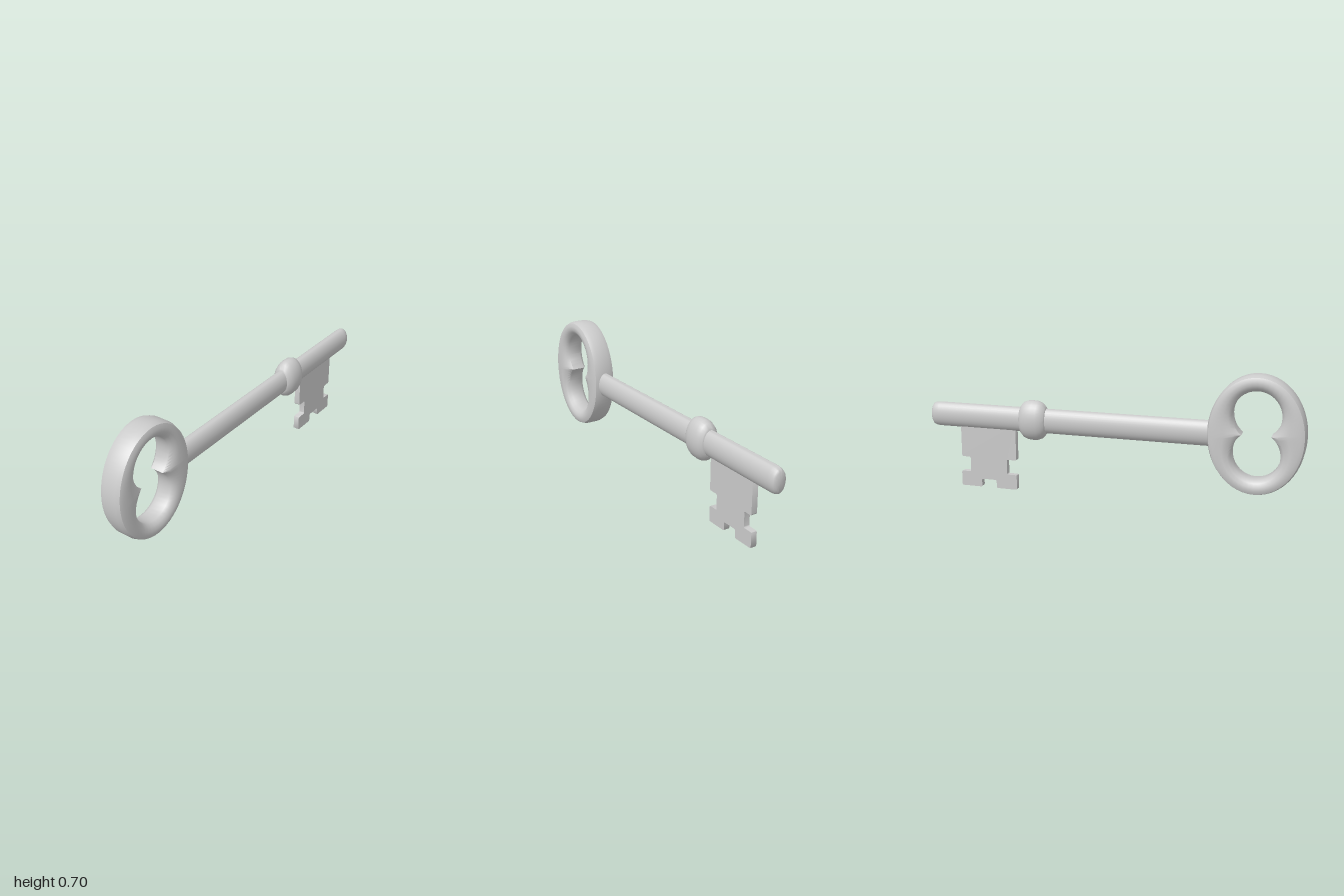
import * as THREE from 'three';
import { toCreasedNormals } from 'three/addons/utils/BufferGeometryUtils.js';

const material = new THREE.MeshStandardMaterial({ color: 0xcccccc });

function part(name, geometry) {
  const mesh = new THREE.Mesh(toCreasedNormals(geometry, 0.8), material);
  mesh.name = name;
  return mesh;
}

// Turned part along x with an elliptical section; profile is [radius, x]
function turned(name, profile) {
  const g = new THREE.LatheGeometry(profile.map(([r, x]) => new THREE.Vector2(r, x)), 32);
  g.rotateZ(-Math.PI / 2).scale(1, 1, 0.61).translate(0, 0.393, 0);
  return part(name, g);
}

// Oval handle with a figure-eight opening, lofted from outer rim to inner wall
function bowGeometry() {
  const steps = 64, rx = 0.243, ry = 0.302;
  // [inset from the rim, fraction of the way to the opening, z]
  const half = [[0, 0, 0.032], [0.008, 0, 0.055], [0.026, 0, 0.063], [0.02, 0.45, 0.062],
    [0.01, 0.8, 0.053], [0, 1, 0.035]];
  const section = [...half.map(([d, t, z]) => [d, t, -z]).reverse(), ...half];
  const n = section.length, pos = [], index = [];
  for (let i = 0; i < steps; i++) {
    const a = i / steps * Math.PI * 2, c = Math.cos(a), s = Math.sin(a);
    const outer = 1 / Math.hypot(c / rx, s / ry);
    // ray from the centre to the upper or lower lobe of the opening
    const u = c / 0.122, v = Math.abs(s) / 0.125, k = 0.1 / 0.125;
    const q = u * u + v * v, b = v * k;
    const inner = (b + Math.sqrt(b * b + q * (1 - k * k))) / q;
    section.forEach(([d, t, z], j) => {
      const r = THREE.MathUtils.lerp(outer - d, inner, t);
      pos.push(-0.757 + r * c, 0.403 + r * s, z);
      const i2 = (i + 1) % steps, j2 = (j + 1) % n;
      const A = i * n + j, B = i2 * n + j, C = i2 * n + j2, D = i * n + j2;
      index.push(A, B, D, B, C, D);
    });
  }
  const g = new THREE.BufferGeometry();
  g.setAttribute('position', new THREE.Float32BufferAttribute(pos, 3));
  g.setIndex(index);
  g.computeVertexNormals();
  return g;
}

// Flat notched plate with slightly eased corners
function bitGeometry() {
  const pts = [[0.518, 0.36], [0.518, 0.165], [0.573, 0.165], [0.573, 0.082], [0.518, 0.082],
    [0.518, 0], [0.636, 0], [0.636, 0.045], [0.722, 0.045], [0.722, 0], [0.84, 0], [0.84, 0.082],
    [0.785, 0.082], [0.785, 0.165], [0.835, 0.165], [0.835, 0.36]].map(p => new THREE.Vector2(...p));
  const shape = new THREE.Shape();
  pts.forEach((p, i) => {
    const toward = q => p.clone().add(q.clone().sub(p).setLength(0.008));
    const a = toward(pts.at(i - 1)), b = toward(pts[(i + 1) % pts.length]);
    if (i) shape.lineTo(a.x, a.y); else shape.moveTo(a.x, a.y);
    shape.quadraticCurveTo(p.x, p.y, b.x, b.y);
  });
  shape.closePath();
  const g = new THREE.ExtrudeGeometry(shape, { depth: 0.032, bevelEnabled: false, curveSegments: 3 });
  return g.translate(0, 0, -0.016);
}

export function createModel() {
  const key = new THREE.Group();
  key.name = 'key';
  key.add(
    part('bow', bowGeometry()),
    turned('shaft', [[0, -0.55], [0.066, -0.55], [0.066, 0.96], [0.064, 0.98], [0.058, 0.993],
      [0.046, 1], [0, 1]]),
    turned('collar', [[0, 0.345], [0.066, 0.345], [0.076, 0.35], [0.095, 0.367], [0.105, 0.39],
      [0.107, 0.418], [0.105, 0.446], [0.095, 0.469], [0.076, 0.486], [0.066, 0.49], [0, 0.49]]),
    part('bit', bitGeometry()),
  );
  return key;
}
